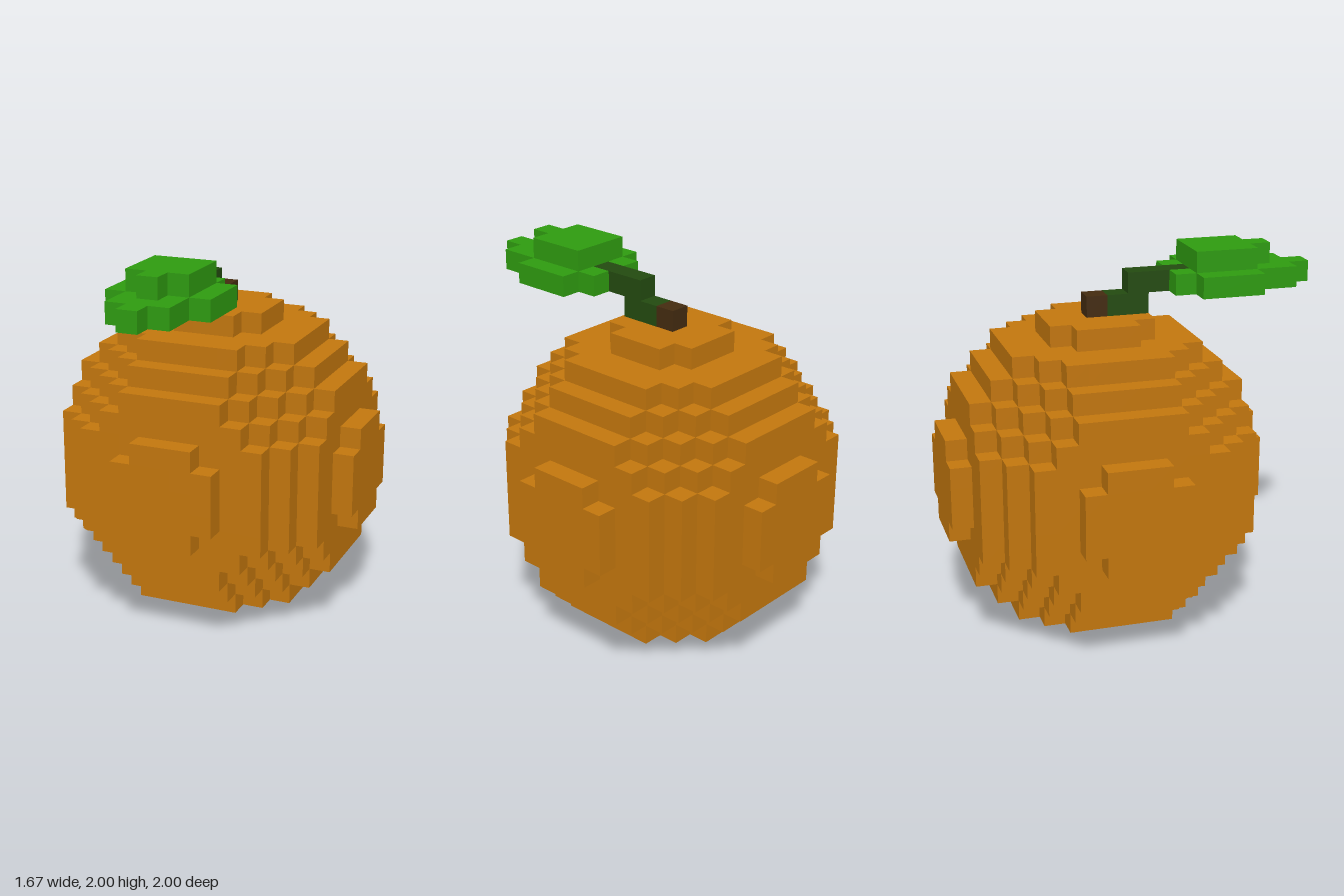
import * as THREE from 'three';
import { mergeGeometries } from 'three/addons/utils/BufferGeometryUtils.js';

const U = 1 / 9; // edge of one cube

function material(name, color) {
  const m = new THREE.MeshStandardMaterial({ color });
  m.name = name;
  return m;
}

// Outer faces of a ball made of cubes, 15 cubes across
function cubeBall(half, radius) {
  const solid = (p) => p.lengthSq() <= radius * radius;
  const forward = new THREE.Vector3(0, 0, 1);
  const sides = [[1, 0, 0], [-1, 0, 0], [0, 1, 0], [0, -1, 0], [0, 0, 1], [0, 0, -1]].map((d) => {
    const dir = new THREE.Vector3(...d);
    const turn = new THREE.Quaternion().setFromUnitVectors(forward, dir);
    const face = new THREE.PlaneGeometry(U, U).applyQuaternion(turn);
    return { dir, face };
  });
  const faces = [];
  const cell = new THREE.Vector3();
  for (let x = -half; x <= half; x++)
    for (let y = -half; y <= half; y++)
      for (let z = -half; z <= half; z++) {
        cell.set(x, y, z);
        if (!solid(cell)) continue;
        for (const { dir, face } of sides) {
          if (solid(cell.clone().add(dir))) continue;
          const c = cell.clone().addScaledVector(dir, 0.5).multiplyScalar(U);
          faces.push(face.clone().translate(c.x, c.y, c.z));
        }
      }
  return mergeGeometries(faces);
}

// Blocks given in cubes: [x0, x1, y0, y1, z0, z1]
function blocks(list) {
  return mergeGeometries(list.map(([x0, x1, y0, y1, z0, z1]) =>
    new THREE.BoxGeometry((x1 - x0) * U, (y1 - y0) * U, (z1 - z0) * U)
      .translate((x0 + x1) / 2 * U, (y0 + y1) / 2 * U, (z0 + z1) / 2 * U)));
}

export function createModel() {
  const group = new THREE.Group();
  const add = (name, geometry, mat) => {
    const mesh = new THREE.Mesh(geometry, mat);
    mesh.name = name;
    group.add(mesh);
    return mesh;
  };

  // Round fruit, set slightly back under the overhanging leaf
  const fruit = add('fruit', cubeBall(7, 7.5), material('orange peel', 0xc2760d));
  fruit.position.set(0, 7.5 * U, -1.5 * U);

  // Stem: woody end, then a green stalk stepping up and forward
  add('stemEnd', blocks([[-0.5, 0.5, 15, 16, -2, -1]]), material('brown wood', 0x432b10));
  add('stalk', blocks([
    [-0.5, 0.5, 15, 16, -1, 1],
    [-0.5, 0.5, 16, 17, 0, 3],
  ]), material('dark green', 0x234a10));

  // Leaf: stepped blade with a raised middle
  add('leaf', blocks([
    [-1.5, -0.5, 16, 17, 2, 3],
    [0.5, 1.5, 16, 17, 2, 3],
    [-2.5, 2.5, 16, 17, 3, 6],
    [-1.5, 1.5, 16, 17, 6, 8],
    [-0.5, 0.5, 16, 17, 8, 9],
    [-1.5, 1.5, 17, 18, 3, 6],
    [-0.5, 0.5, 17, 18, 6, 7],
  ]), material('leaf green', 0x2e9a10));

  return group;
}
